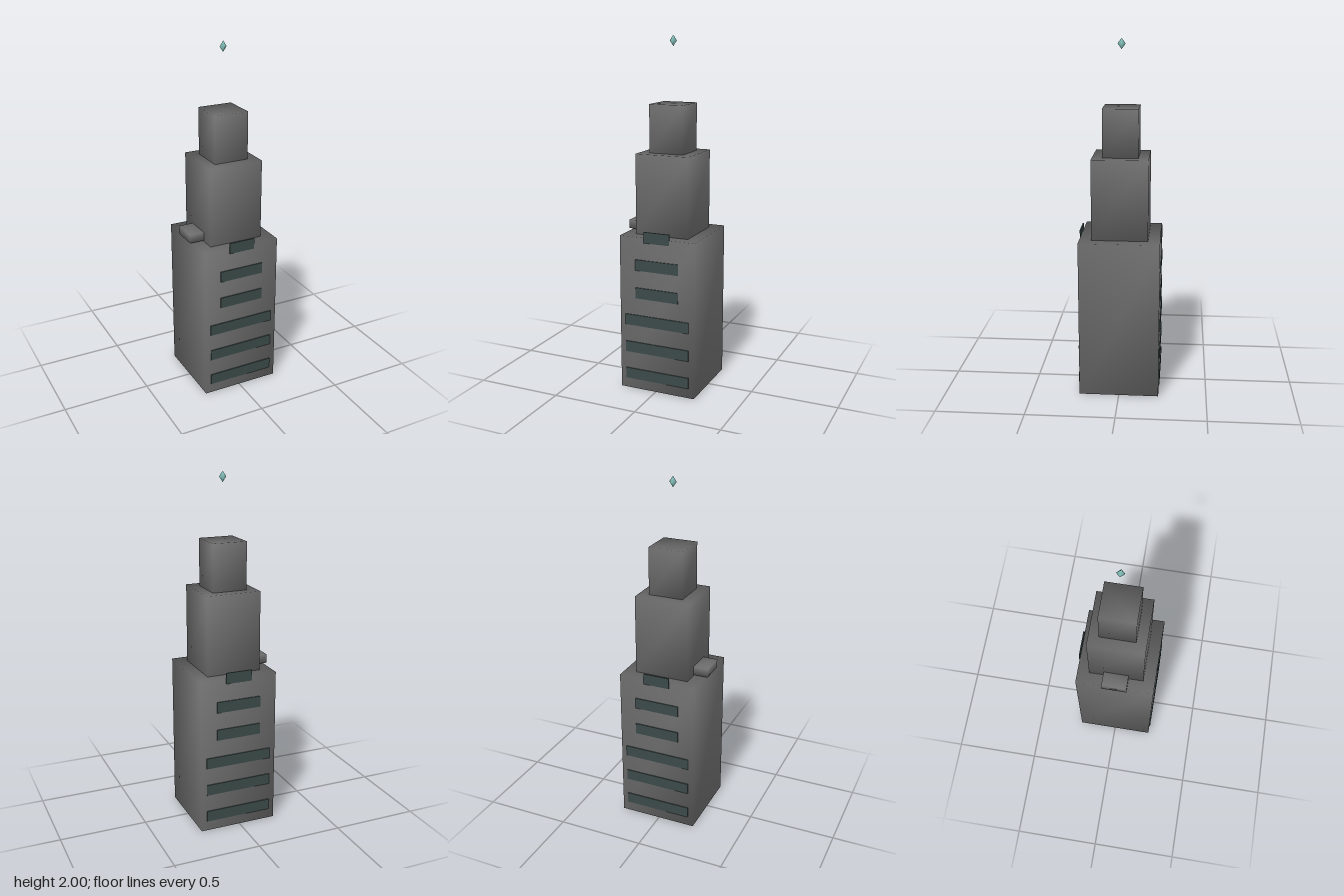
import * as THREE from 'three';
import { mergeVertices } from 'three/addons/utils/BufferGeometryUtils.js';

// Share corner vertices so the shading runs smoothly over the edges
function smooth(geometry) {
  geometry.deleteAttribute('normal');
  geometry.deleteAttribute('uv');
  const merged = mergeVertices(geometry, 1e-4);
  merged.computeVertexNormals();
  return merged;
}

export function createModel() {
  const group = new THREE.Group();
  const stone = new THREE.MeshStandardMaterial({ color: 0x6e6e6e });
  stone.name = 'grey stone';
  const glass = new THREE.MeshStandardMaterial({ color: 0x3b4a48 });
  glass.name = 'dark glass';
  const crystal = new THREE.MeshStandardMaterial({ color: 0x86c5c0 });
  crystal.name = 'pale teal';

  const axis = 0.008; // tower centre line

  const add = (name, geometry, material, x, y, z) => {
    const mesh = new THREE.Mesh(geometry, material);
    mesh.name = name;
    mesh.position.set(x, y, z);
    group.add(mesh);
  };

  // Three stacked tower tiers: name, width, bottom, top
  for (const [name, width, y0, y1] of [
    ['lowerTier', 0.453, 0, 0.905],
    ['middleTier', 0.316, 0.905, 1.36],
    ['upperTier', 0.2, 1.36, 1.63],
  ]) {
    add(name, smooth(new THREE.BoxGeometry(width, y1 - y0, width)), stone, axis, (y0 + y1) / 2, 0);
  }

  // Small ledge jutting out on the right side
  add('sideLedge', smooth(new THREE.BoxGeometry(0.096, 0.05, 0.145)), stone, -0.187, 0.935, 0);

  // Window bands on front and back, narrowing upward
  const widths = [0.389, 0.389, 0.389, 0.261, 0.261, 0.153];
  widths.forEach((width, i) => {
    for (const side of [1, -1]) {
      add(side > 0 ? 'frontWindow' : 'backWindow', new THREE.BoxGeometry(width, 0.063, 0.007),
        glass, axis, 0.09 + i * 0.1636, side * 0.2285);
    }
  });

  // Crystal floating above the tower
  const gem = new THREE.OctahedronGeometry(1, 0).scale(0.021, 0.03, 0.022);
  add('floatingCrystal', smooth(gem), crystal, axis, 1.97, 0);

  return group;
}
